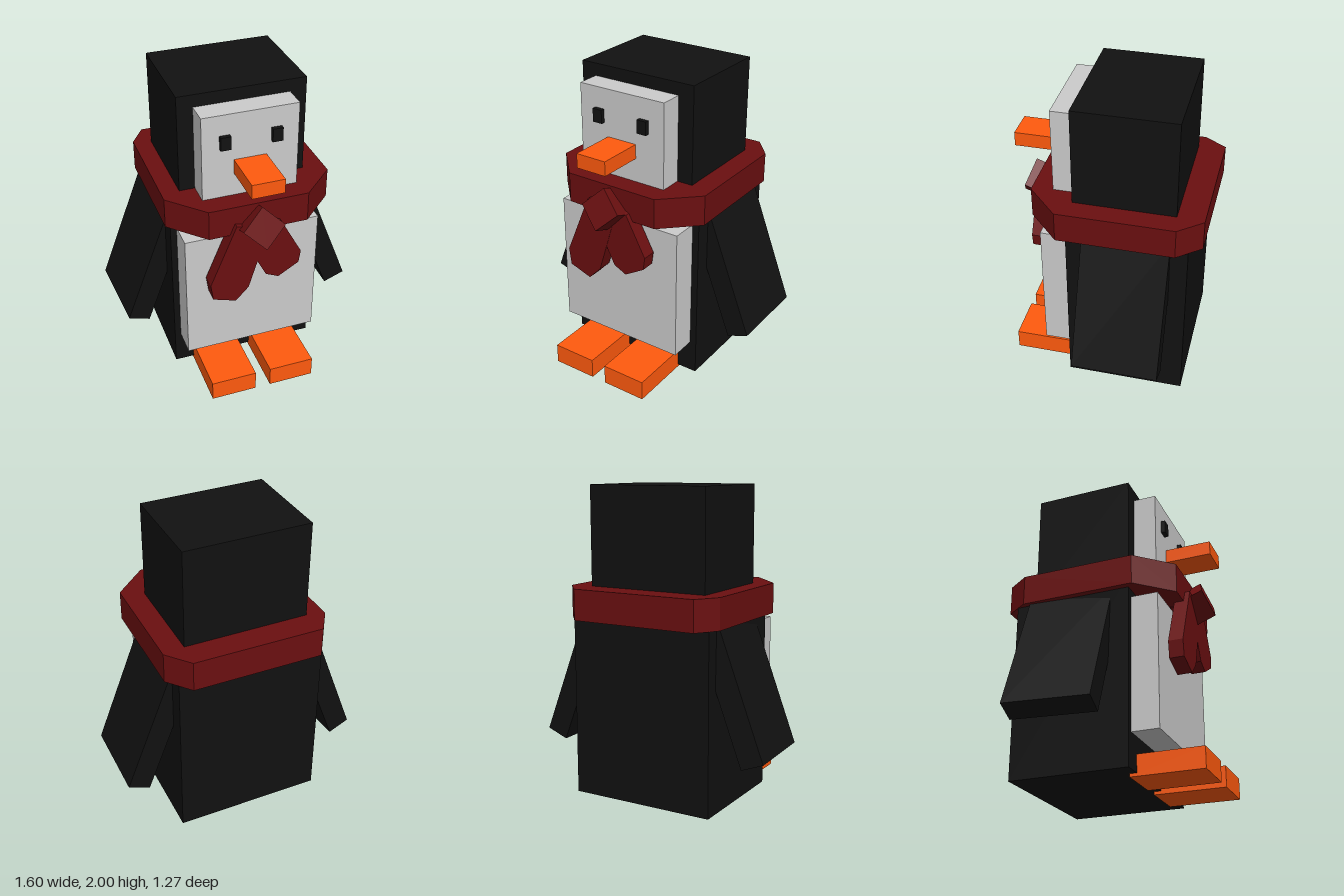
import * as THREE from 'three';

const mat = (color) => new THREE.MeshStandardMaterial({ color, flatShading: true });

export function createModel() {
  const model = new THREE.Group();
  const black = mat(0x111111), grey = mat(0xcccccc), orange = mat(0xff5a0e), red = mat(0x6a0f10);

  const add = (name, geometry, material, parent = model) => {
    const mesh = new THREE.Mesh(geometry, material);
    mesh.name = name;
    parent.add(mesh);
    return mesh;
  };
  // Box given by its limits on each axis
  const box = (name, material, [x0, x1], [y0, y1], [z0, z1]) => {
    const mesh = add(name, new THREE.BoxGeometry(x1 - x0, y1 - y0, z1 - z0), material);
    mesh.position.set((x0 + x1) / 2, (y0 + y1) / 2, (z0 + z1) / 2);
    return mesh;
  };
  // Flat outline given a thickness along +z
  const slab = (points, depth) => new THREE.ExtrudeGeometry(
    new THREE.Shape(points.map(([x, y]) => new THREE.Vector2(x, y))), { depth, bevelEnabled: false });

  // Body and head
  box('body', black, [-0.485, 0.48], [0.02, 1.25], [-0.55, 0.215]);
  box('belly', grey, [-0.445, 0.435], [0.24, 1.12], [0.2, 0.39]);
  box('head', black, [-0.41, 0.405], [1.22, 2], [-0.46, 0.185]);
  box('face', grey, [-0.31, 0.3], [1.3, 1.92], [0.17, 0.335]);
  box('beak', orange, [-0.11, 0.097], [1.52, 1.613], [0.32, 0.637]);
  box('rightEye', black, [-0.2, -0.135], [1.7, 1.787], [0.32, 0.363]);
  box('leftEye', black, [0.125, 0.19], [1.7, 1.787], [0.32, 0.363]);

  // Feet
  box('rightFoot', orange, [-0.36, -0.06], [0, 0.133], [0.17, 0.63]);
  box('leftFoot', orange, [0.042, 0.342], [0, 0.133], [0.17, 0.63]);

  // Flippers: hung from the outer lower corner, leaning in to the shoulder
  const flipper = (name, side, corner, lean, turn, depth) => {
    const group = new THREE.Group();
    group.name = name;
    group.position.set(...corner);
    group.rotation.z = side * lean;
    const geometry = new THREE.BoxGeometry(0.15, 0.9, depth);
    geometry.translate(-side * 0.075, 0.45, 0);
    add(name + 'Panel', geometry, black, group).rotation.y = turn;
    model.add(group);
  };
  flipper('leftFlipper', 1, [0.797, 0.375, -0.165], 0.37, 0, 0.55);
  flipper('rightFlipper', -1, [-0.782, 0.38, -0.18], 0.36, 0.07, 0.55);

  // Scarf collar: an octagon with long sides
  const collar = slab([
    [-0.43, 0.635], [-0.525, 0.49], [-0.525, -0.25], [-0.315, -0.47],
    [0.325, -0.47], [0.545, -0.26], [0.545, 0.48], [0.42, 0.63],
  ], 0.197);
  collar.rotateX(-Math.PI / 2);
  add('scarfCollar', collar, red).position.y = 1.17;

  // Scarf tails
  add('rightScarfTail', slab([
    [-0.15, 1.25], [-0.32, 0.84], [-0.305, 0.73], [-0.155, 0.68],
    [-0.07, 0.77], [-0.012, 0.96], [0.06, 1.2],
  ], 0.095), red).position.z = 0.408;
  add('leftScarfTail', slab([
    [-0.1, 1.14], [-0.016, 0.96], [0.045, 0.84], [0.13, 0.8],
    [0.265, 0.88], [0.277, 0.965], [0.14, 1.22], [0, 1.28],
  ], 0.093), red).position.z = 0.408;

  // Scarf knot: a block on its corner, tipped back
  const knotGeometry = new THREE.BoxGeometry(0.19, 0.19, 0.23);
  knotGeometry.rotateZ(Math.PI / 4);
  const knot = add('scarfKnot', knotGeometry, red);
  knot.position.set(0, 1.21, 0.47);
  knot.rotation.x = -0.35;

  return model;
}
